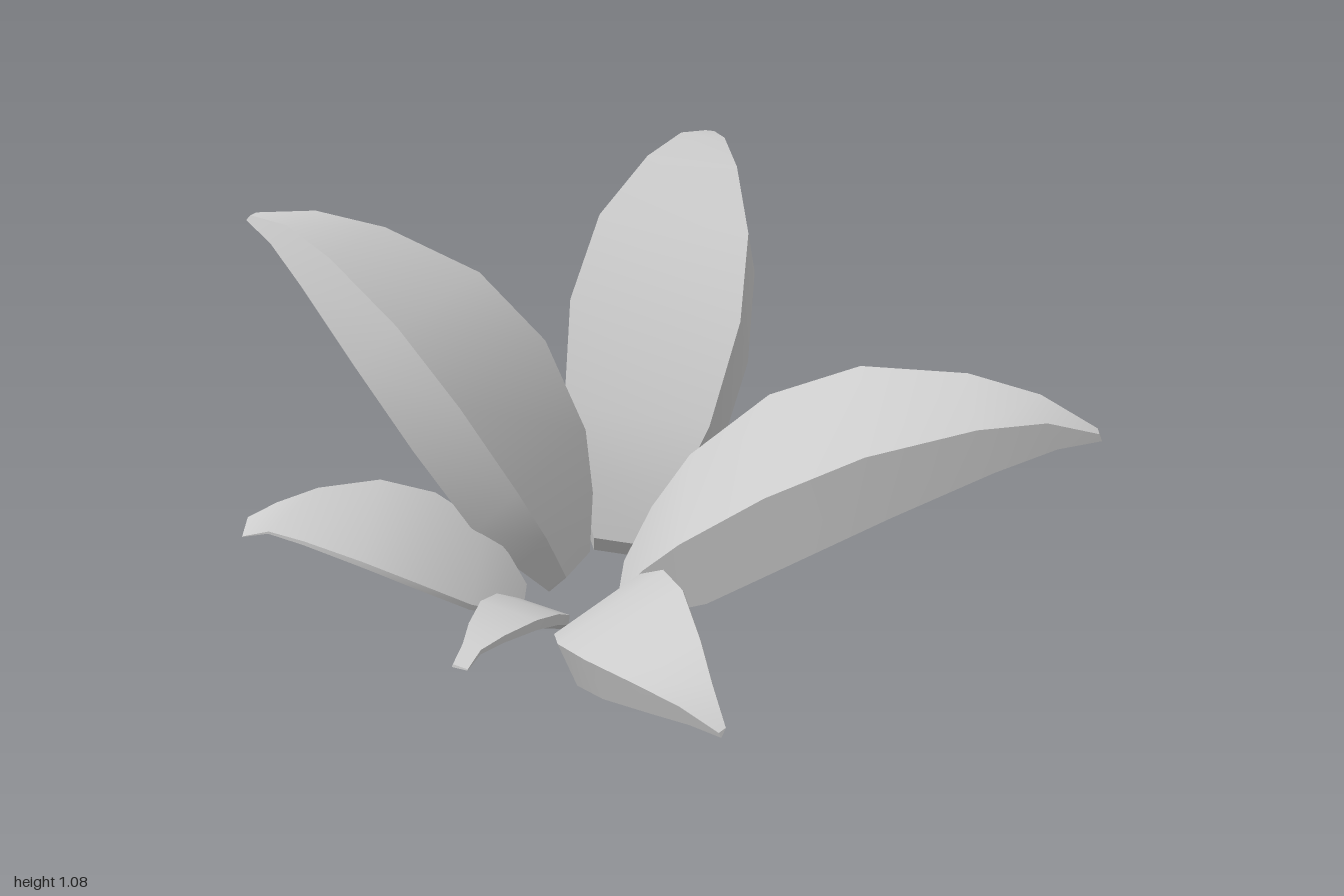
import * as THREE from 'three';

const material = new THREE.MeshStandardMaterial({ color: 0xcccccc });
const { lerp, degToRad } = THREE.MathUtils;

// Unit leaf stations along the chord: [distance, top height, underside height, half width]
const STATIONS = [
  [0, 0.03, -0.024, 0.055],
  [0.09, 0.1, 0.0, 0.105],
  [0.2, 0.16, 0.024, 0.15],
  [0.4, 0.215, 0.072, 0.178],
  [0.6, 0.218, 0.087, 0.16],
  [0.8, 0.159, 0.066, 0.1],
  [0.92, 0.093, 0.035, 0.05],
  [1, 0.008, -0.008, 0],
];

// Thick arched leaf: four strips, smooth along the length and sharp at the rims.
// On one side, drop lowers the top rim and lift raises the lower rim to thin the edge.
function leafGeometry({ widen, tipHalf, drop = 0, lift = 0 }) {
  const rings = STATIONS.map(([u, top, under, half]) => {
    const w = Math.max(half * widen, tipHalf);
    const t = w * lerp(0.92, 1, Math.max(drop, lift));
    return [
      [u, lerp(top, under, drop), -t],
      [u, top, w * 0.92],
      [u, under, w],
      [u, lerp(under, top, lift), -w],
    ];
  });
  const positions = [];
  const index = [];
  for (let side = 0; side < 4; side++) {
    const start = positions.length / 3;
    for (const ring of rings) positions.push(...ring[side], ...ring[(side + 1) % 4]);
    for (let i = 0; i < rings.length - 1; i++) {
      const a = start + i * 2;
      index.push(a, a + 1, a + 2, a + 1, a + 3, a + 2);
    }
  }
  // Flat caps at the root and the tip
  const cap = (ring, order) => {
    const start = positions.length / 3;
    for (const p of ring) positions.push(...p);
    for (const k of order) index.push(start + k);
  };
  cap(rings[0], [0, 3, 2, 0, 2, 1]);
  cap(rings[rings.length - 1], [0, 1, 2, 0, 2, 3]);

  const geometry = new THREE.BufferGeometry();
  geometry.setAttribute('position', new THREE.Float32BufferAttribute(positions, 3));
  geometry.setIndex(index);
  geometry.computeVertexNormals();
  return geometry;
}

// Places a leaf from its root to its tip, rolled about that line
function makeLeaf(leaf) {
  const base = new THREE.Vector3(...leaf.root);
  const along = new THREE.Vector3(...leaf.tip).sub(base);
  const length = along.length();
  along.normalize();
  const across = along.clone().cross(new THREE.Vector3(0, 1, 0)).normalize();
  const normal = across.clone().cross(along);
  const angle = degToRad(leaf.roll);
  normal.applyAxisAngle(along, angle);
  across.applyAxisAngle(along, angle);

  const mesh = new THREE.Mesh(leafGeometry(leaf), material);
  mesh.name = leaf.name;
  mesh.position.copy(base);
  mesh.quaternion.setFromRotationMatrix(new THREE.Matrix4().makeBasis(along, normal, across));
  mesh.scale.setScalar(length);
  return mesh;
}

const LEAVES = [
  { name: 'backLeaf', root: [-0.12, 0.12, -0.025], tip: [0.01, 1.06, -0.97], roll: 8, widen: 1, tipHalf: 0.01 },
  { name: 'rightLeaf', root: [-0.22, 0.125, 0.165], tip: [-1, 0.965, 0.07], roll: -11, widen: 1.19, tipHalf: 0.012 },
  { name: 'leftLeaf', root: [-0.07, 0.11, 0.225], tip: [1, 0.55, 0.29], roll: 15, widen: 1.22, tipHalf: 0.012 },
  { name: 'frontLeftLeaf', root: [-0.125, 0.04, 0.305], tip: [0.225, 0.11, 0.965], roll: 28, widen: 1.1, tipHalf: 0.012, lift: 0.95 },
  { name: 'frontSmallLeaf', root: [-0.225, 0.05, 0.335], tip: [-0.355, 0.12, 0.745], roll: -8, widen: 1.1, tipHalf: 0.045, lift: 0.6 },
  { name: 'lowRightLeaf', root: [-0.29, 0.13, 0.375], tip: [-0.89, 0.34, 0.53], roll: -13, widen: 1.2, tipHalf: 0.055, drop: 0.85 },
];

export function createModel() {
  const group = new THREE.Group();
  group.name = 'leafyPlant';
  for (const leaf of LEAVES) group.add(makeLeaf(leaf));
  return group;
}
